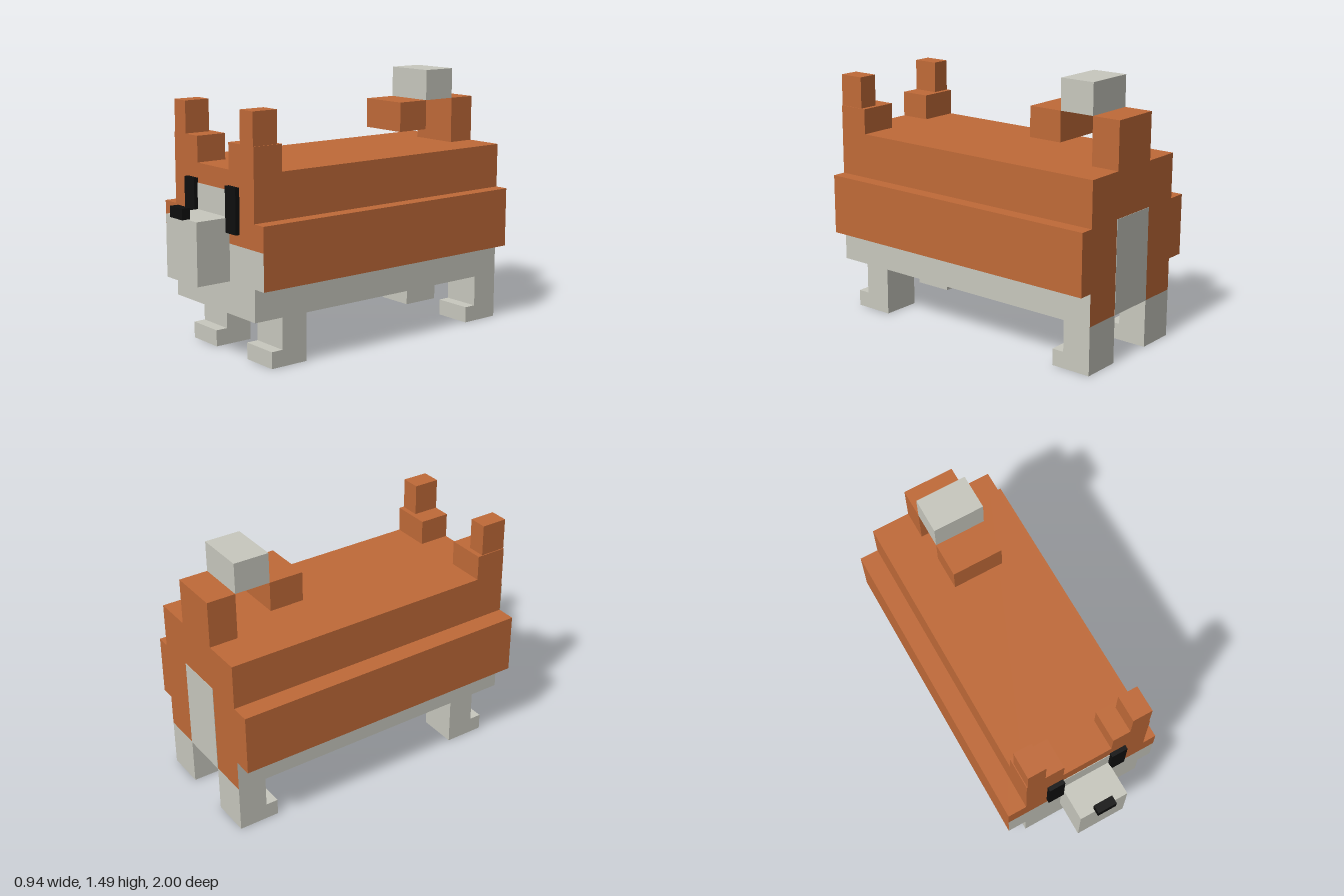
import * as THREE from 'three';

const mats = {
  o: new THREE.MeshStandardMaterial({ name: 'orange fur', color: 0xc06a38 }),
  g: new THREE.MeshStandardMaterial({ name: 'pale fur', color: 0xc8c8be }),
  k: new THREE.MeshStandardMaterial({ name: 'black', color: 0x0e0e0e }),
};

// Block between two corners. faces: one letter for all sides, or six letters
// in the order +x -x +y -y +z -z, where '-' leaves a hidden side out.
function block(name, [x0, x1], [y0, y1], [z0, z1], faces) {
  const geo = new THREE.BoxGeometry(x1 - x0, y1 - y0, z1 - z0);
  geo.translate((x0 + x1) / 2, (y0 + y1) / 2, (z0 + z1) / 2);
  let material = mats[faces];
  if (faces.length === 6) {
    const source = Array.from(geo.index.array);
    const index = [];
    const used = [];
    geo.clearGroups();
    [...faces].forEach((letter, i) => {
      if (letter === '-') return;
      geo.addGroup(index.length, 6, used.length);
      index.push(...source.slice(i * 6, i * 6 + 6));
      used.push(mats[letter]);
    });
    geo.setIndex(index);
    material = used;
  } else {
    geo.clearGroups();
  }
  const mesh = new THREE.Mesh(geo, material);
  mesh.name = name;
  return mesh;
}

export function createModel() {
  const model = new THREE.Group();
  model.name = 'blockDog';
  const add = (...args) => model.add(block(...args));

  const trunk = [-0.36, 0.385];
  const middle = [-0.135, 0.16];
  const length = [-1, 0.765];
  const front = 0.765;

  // Body: belly, wider flanks with a pale chin line in front, and back
  add('belly', trunk, [0.27, 0.45], length, 'gg-ggo');
  add('lowerTrunk', trunk, [0.45, 0.655], length, '----go');
  add('leftLowerFlank', [0.385, 0.465], [0.45, 0.655], length, 'o--ggo');
  add('rightLowerFlank', [-0.47, -0.36], [0.45, 0.655], length, '-o-ogo');
  add('upperFlanks', [-0.47, 0.465], [0.655, 0.795], length, 'ooo-oo');
  add('back', trunk, [0.795, 1.05], length, 'ooo-oo');

  // Painted patches
  add('faceBlaze', middle, [0.655, 0.94], [front, front + 0.003], 'g');
  add('rumpPatch', middle, [0.27, 0.795], [-1.002, -1], 'g');

  // Muzzle and nose
  add('muzzle', middle, [0.45, 0.795], [front, 0.97], 'g');
  add('nose', [-0.045, 0.07], [0.795, 0.855], [0.95, 1], 'k');

  // Paired parts
  const sides = [
    { side: 'left', x: [0.16, 0.385], ear: [0.265, 0.38], eye: [0.158, 0.254] },
    { side: 'right', x: [-0.36, -0.135], ear: [-0.355, -0.248], eye: [-0.23, -0.135] },
  ];
  for (const { side, x, ear, eye } of sides) {
    add(side + 'Eye', eye, [0.717, 0.967], [front, 0.79], 'k');
    add(side + 'Brow', x, [1.05, 1.195], [0.585, front], 'o');
    add(side + 'Ear', ear, [1.195, 1.375], [0.613, front], 'o');
    for (const [end, z0, z1, toe] of [['Front', 0.43, 0.59, 0.66], ['Back', -1, -0.835, -0.765]]) {
      add(side + end + 'Leg', x, [0, 0.27], [z0, z1], 'g');
      add(side + end + 'Paw', x, [0, 0.093], [z1, toe], 'g');
    }
  }

  // Curled tail
  add('tailBase', middle, [1.05, 1.315], [-1, -0.835], 'o');
  add('tailCurl', middle, [1.315, 1.49], [-0.835, -0.63], 'g');
  add('tailTip', middle, [1.145, 1.315], [-0.63, -0.43], 'o');

  return model;
}
